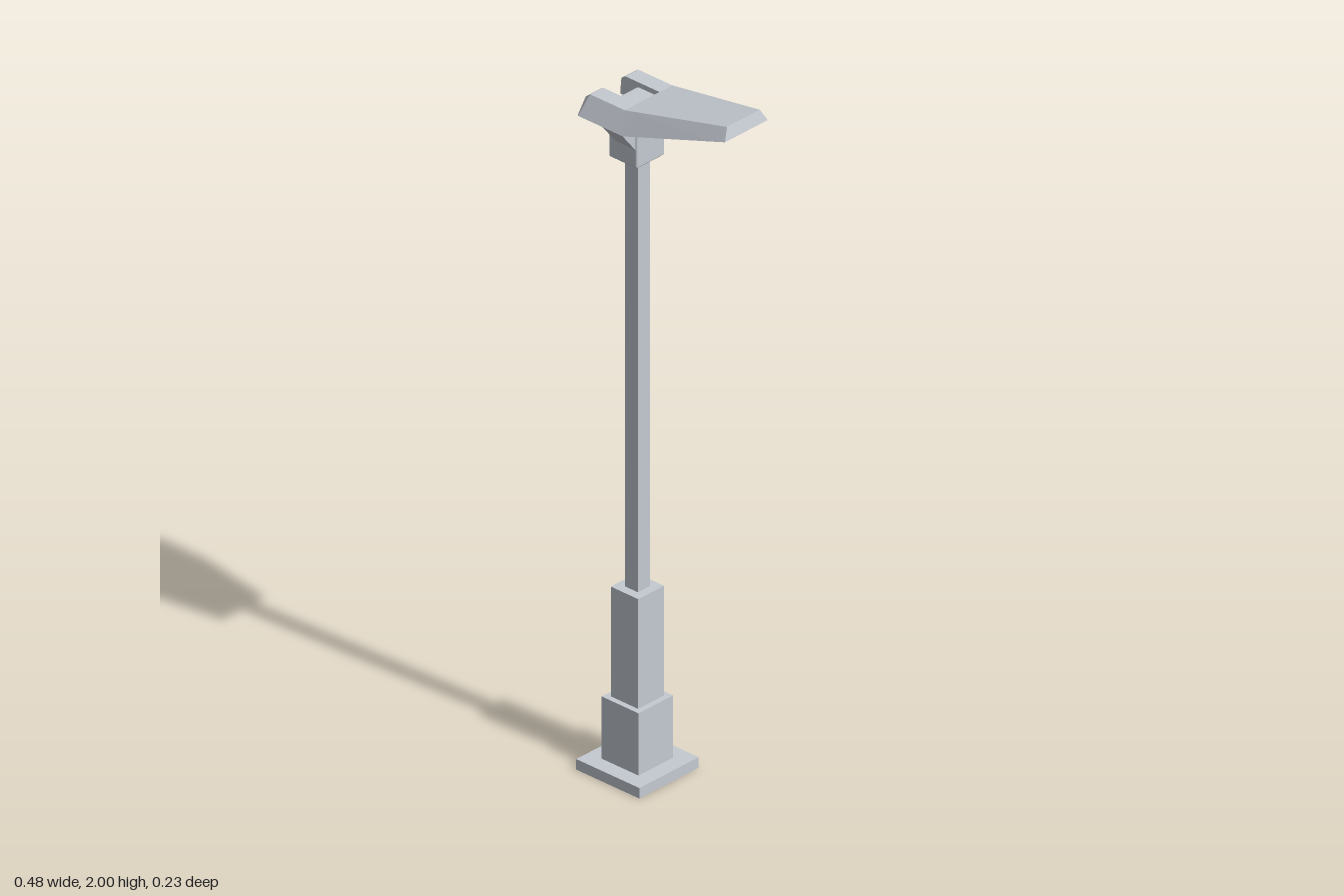
import * as THREE from 'three';
import { RoundedBoxGeometry } from 'three/addons/geometries/RoundedBoxGeometry.js';

// Skin a row of equal-sized rings running along +x, with flat faces and end caps.
function loft(rings) {
  const pos = [];
  const tri = (a, b, c) => pos.push(...a, ...b, ...c);
  const n = rings[0].length;
  for (let r = 0; r < rings.length - 1; r++) {
    const a = rings[r], b = rings[r + 1];
    for (let i = 0; i < n; i++) {
      const j = (i + 1) % n;
      tri(a[i], a[j], b[j]);
      tri(a[i], b[j], b[i]);
    }
  }
  const first = rings[0], last = rings[rings.length - 1];
  for (let i = 1; i < n - 1; i++) {
    tri(first[0], first[i + 1], first[i]);
    tri(last[0], last[i], last[i + 1]);
  }
  const g = new THREE.BufferGeometry();
  g.setAttribute('position', new THREE.Float32BufferAttribute(pos, 3));
  g.computeVertexNormals();
  return g;
}

export function createModel() {
  const group = new THREE.Group();
  const metal = new THREE.MeshStandardMaterial({ color: 0xc5cad2 });
  metal.name = 'light grey metal';
  const poleX = -0.133;
  const headY = 1.878; // underside of the level part of the head

  const add = (name, geometry) => {
    const mesh = new THREE.Mesh(geometry, metal);
    mesh.name = name;
    group.add(mesh);
    return mesh;
  };

  // Stepped square base and pole: name, width, bottom, top
  for (const [name, w, y0, y1] of [
    ['basePlate', 0.216, 0, 0.03],
    ['lowerPlinth', 0.126, 0.03, 0.208],
    ['upperPlinth', 0.094, 0.208, 0.522],
    ['pole', 0.044, 0.522, 1.76],
  ]) {
    add(name, new THREE.BoxGeometry(w, y1 - y0, w)).position.set(poleX, (y0 + y1) / 2, 0);
  }

  // Collar under the lamp head
  add('collar', new RoundedBoxGeometry(0.097, 0.13, 0.102, 2, 0.005)).position.set(-0.1355, 1.818, 0);

  // Cap rising into the slot, its outer side leaning in towards the top
  const cap = new RoundedBoxGeometry(0.088, 0.07, 0.08, 2, 0.006);
  const p = cap.attributes.position;
  for (let i = 0; i < p.count; i++) {
    if (p.getX(i) < 0 && p.getY(i) > 0) p.setX(i, p.getX(i) + 0.014);
  }
  cap.computeVertexNormals();
  add('collarCap', cap).position.set(-0.139, 1.888, 0);

  // Lamp head front: a rising, tapering wedge with a shallow recess underneath
  const lerp = THREE.MathUtils.lerp;
  const section = (tx, ty, bx, by, topZ, botZ, inZ, depth) => [
    [tx, ty, -topZ], [tx, ty, topZ], [bx, by, botZ], [bx, by, inZ],
    [bx, by + depth, inZ], [bx, by + depth, -inZ], [bx, by, -inZ], [bx, by, -botZ],
  ];
  const along = (t, depth) => section(
    lerp(-0.094, 0.23, t), lerp(1.934, 2.0, t),
    lerp(-0.075, 0.24, t), lerp(headY, 1.967, t),
    lerp(0.087, 0.06, t), lerp(0.115, 0.078, t), lerp(0.06, 0.038, t), depth);
  add('lampHead', loft([
    section(-0.095, 1.934, -0.095, headY, 0.087, 0.115, 0.06, 0),
    along(0, 0), along(0.06, 0), along(0.08, 0.006),
    along(0.9, 0.006), along(0.92, 0), along(1, 0),
  ]));

  for (const side of [1, -1]) {
    const label = side > 0 ? 'Front' : 'Back';
    const orient = (ring) => {
      const pts = ring.map(([x, y, z]) => [x, y, z * side]);
      return side > 0 ? pts : pts.reverse();
    };

    // Prongs of the head on either side of the slot
    const prong = (x, tx, ty, inner, topZ, botZ) => orient([
      [tx, ty, inner], [tx, ty, topZ], [x, headY, botZ], [x, headY, inner],
    ]);
    add('headProng' + label, loft([
      prong(-0.235, -0.231, 1.92, 0.046, 0.084, 0.107),
      prong(-0.228, -0.213, 1.934, 0.04, 0.087, 0.115),
      prong(-0.095, -0.095, 1.934, 0.04, 0.087, 0.115),
    ]));

    // Triangular brackets flaring from the collar to the head
    const bracket = (x) => orient([
      [x, headY + 0.002, 0.045], [x, headY + 0.002, 0.11], [x, 1.806, 0.051], [x, 1.806, 0.045],
    ]);
    add('bracket' + label, loft([bracket(-0.16), bracket(-0.092)]));
  }

  return group;
}
